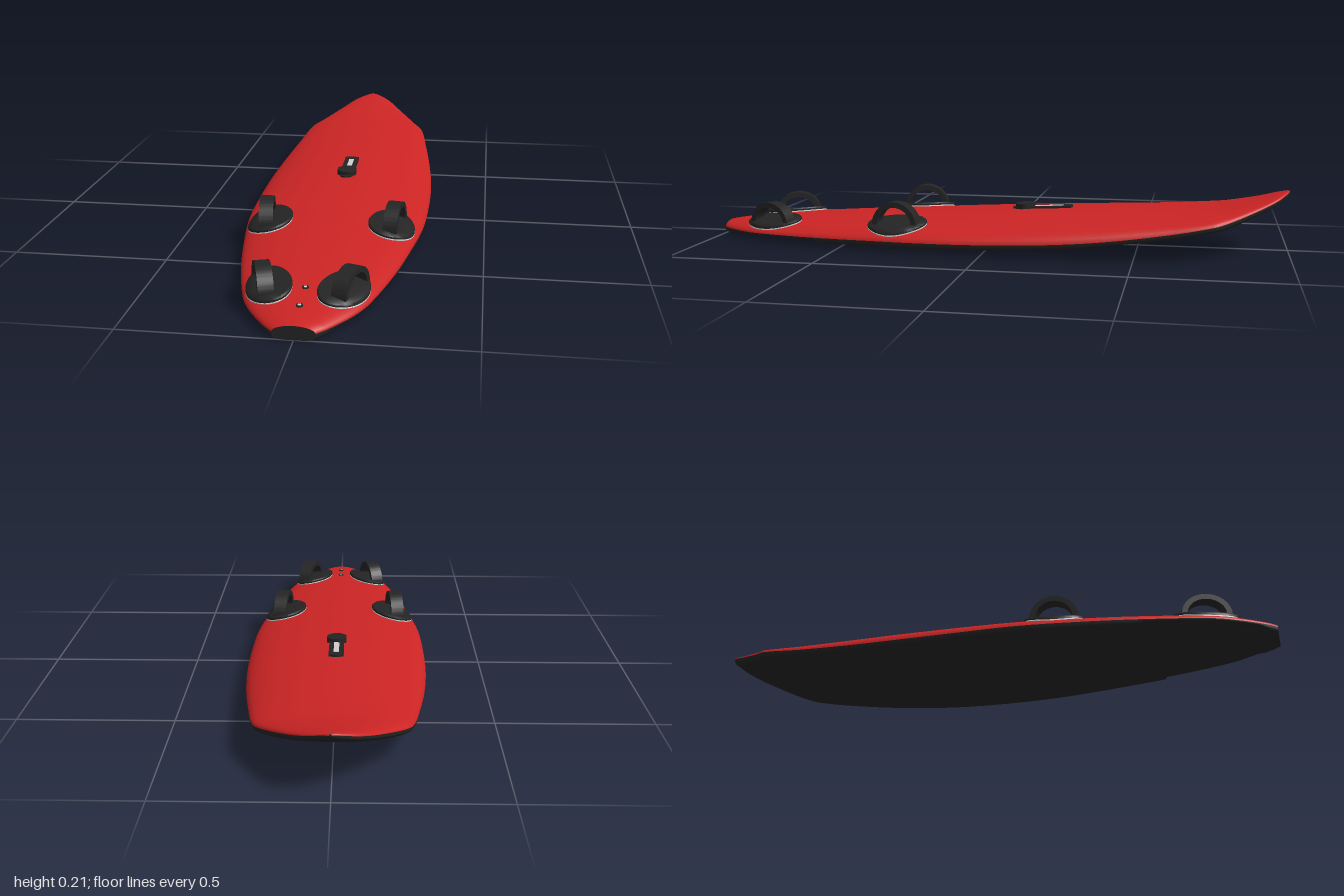
import * as THREE from 'three';
import { toCreasedNormals } from 'three/addons/utils/BufferGeometryUtils.js';

// Board stations from tail to nose: z, half width, deck centre, rail, bottom centre
const STATIONS = [
  [1, 0.06, 0.042, 0.022, 0], [0.97, 0.088, 0.047, 0.023, 0], [0.88, 0.148, 0.058, 0.024, 0],
  [0.8, 0.183, 0.066, 0.026, 0], [0.6, 0.234, 0.079, 0.029, 0.001], [0.4, 0.27, 0.09, 0.033, 0.002],
  [0.2, 0.297, 0.101, 0.036, 0.004], [0, 0.304, 0.113, 0.039, 0.008], [-0.2, 0.301, 0.123, 0.046, 0.018],
  [-0.4, 0.285, 0.132, 0.06, 0.035], [-0.6, 0.258, 0.14, 0.084, 0.057], [-0.75, 0.231, 0.149, 0.109, 0.08],
  [-0.8, 0.2, 0.156, 0.12, 0.093], [-0.9, 0.126, 0.178, 0.154, 0.133], [-0.96, 0.075, 0.196, 0.179, 0.163],
  [-0.99, 0.03, 0.204, 0.195, 0.184], [-1, 0.003, 0.205, 0.2, 0.196],
];

// Smooth cubic interpolation of the stations
function section(z) {
  let i = 0;
  while (i < STATIONS.length - 2 && z < STATIONS[i + 1][0]) i++;
  const a = STATIONS[i], b = STATIONS[i + 1];
  const p = STATIONS[Math.max(i - 1, 0)], n = STATIONS[Math.min(i + 2, STATIONS.length - 1)];
  const h = b[0] - a[0], t = (z - a[0]) / h;
  const [w, top, rail, bottom] = [1, 2, 3, 4].map((k) => {
    const m0 = h * (b[k] - p[k]) / (b[0] - p[0]), m1 = h * (n[k] - a[k]) / (n[0] - a[0]);
    const t2 = t * t, t3 = t2 * t;
    return (2 * t3 - 3 * t2 + 1) * a[k] + (t3 - 2 * t2 + t) * m0 + (3 * t2 - 2 * t3) * b[k] + (t3 - t2) * m1;
  });
  return { w, top, rail, bottom };
}

function deckY(x, z) {
  const s = section(z), u = Math.min(Math.abs(x) / s.w, 1);
  return s.rail + (s.top - s.rail) * Math.sqrt(1 - u * u);
}

const COLS = 32;
function deckPoint(j, z) {
  const s = section(z), a = Math.PI * (1 - j / COLS);
  return [s.w * Math.cos(a), s.rail + (s.top - s.rail) * Math.sin(a), z];
}
function hullPoint(j, z) {
  const s = section(z), a = Math.PI * j / COLS, c = Math.cos(a);
  const x = s.w * Math.sign(c) * Math.pow(Math.abs(c), 0.55);
  let y = s.rail - (s.rail - s.bottom) * Math.pow(Math.max(Math.sin(a), 0), 0.55);
  // Stepped cutouts beside the tail
  if (z < 0.98 && z < 0.595 === false && Math.abs(x) > 0.09) y += (s.rail - y) * 0.5;
  return [x, y, z];
}

// Skin over cross-sections, tail to nose
function skin(point) {
  const zs = [];
  for (let i = 0; i < STATIONS.length - 1; i++) {
    for (let k = 0; k < 4; k++) zs.push(THREE.MathUtils.lerp(STATIONS[i][0], STATIONS[i + 1][0], k / 4));
  }
  zs.push(0.594, -1);
  zs.sort((a, b) => b - a);
  const pos = [], index = [];
  zs.forEach((z, i) => {
    for (let j = 0; j <= COLS; j++) {
      pos.push(...point(j, z));
      if (i < zs.length - 1 && j < COLS) {
        const a = i * (COLS + 1) + j, c = a + COLS + 1;
        index.push(a, a + 1, c, a + 1, c + 1, c);
      }
    }
  });
  const g = new THREE.BufferGeometry();
  g.setAttribute('position', new THREE.Float32BufferAttribute(pos, 3));
  g.setIndex(index);
  g.computeVertexNormals();
  return g;
}

// Oval pad draped over the deck
function padGeometry(cx, cz, rx, rz, angle, lift, thick) {
  const profile = [[1, 0], [1, 0.6], [0.95, 1], [0.7, 1], [0.4, 1], [0, 1]]
    .map(([r, y]) => new THREE.Vector2(r, y * thick + lift));
  const g = new THREE.LatheGeometry(profile, 36);
  const p = g.attributes.position, c = Math.cos(angle), s = Math.sin(angle);
  for (let i = 0; i < p.count; i++) {
    const lx = p.getX(i) * rx, lz = p.getZ(i) * rz;
    const x = cx + lx * c + lz * s, z = cz - lx * s + lz * c;
    p.setXYZ(i, x, deckY(x, z) + p.getY(i), z);
  }
  return toCreasedNormals(g, 0.7);
}

// Arched band running along z
function strapGeometry(length, height, width, thick) {
  const r = length / 2, foot = -0.02;
  const shape = new THREE.Shape();
  shape.moveTo(r, foot);
  shape.lineTo(r, 0);
  shape.absellipse(0, 0, r, height, 0, Math.PI, false, 0);
  shape.lineTo(-r, foot);
  shape.lineTo(-r + thick, foot);
  shape.lineTo(-r + thick, 0);
  shape.absellipse(0, 0, r - thick, height - thick, Math.PI, 0, true, 0);
  shape.lineTo(r - thick, foot);
  const g = new THREE.ExtrudeGeometry(shape, { depth: width, bevelEnabled: false, curveSegments: 20 });
  g.translate(0, 0, -width / 2);
  g.rotateY(Math.PI / 2);
  return toCreasedNormals(g, 0.6);
}

export function createModel() {
  const model = new THREE.Group();
  model.name = 'sailboard';
  const material = (name, color) => Object.assign(new THREE.MeshStandardMaterial({ color }), { name });
  const red = material('red deck', 0xcc2424);
  const black = material('black', 0x242424);
  const light = material('light grey', 0xcfcfcf);
  const add = (name, geometry, mat, parent = model) => {
    const m = new THREE.Mesh(geometry, mat);
    m.name = name;
    parent.add(m);
    return m;
  };

  // Board body
  add('deck', skin(deckPoint), red);
  add('hull', skin(hullPoint), black);
  const outline = [];
  for (let j = COLS; j >= 0; j--) outline.push(new THREE.Vector2(...hullPoint(j, 1)));
  for (let j = COLS - 1; j > 0; j--) outline.push(new THREE.Vector2(...deckPoint(j, 1)));
  add('tailCap', new THREE.ShapeGeometry(new THREE.Shape(outline)), black).position.z = 1;

  // Foot straps, mirrored pairs
  const straps = [
    { name: 'front', x: 0.2, z: 0.305, rx: 0.074, rz: 0.105, angle: 0.13, sx: 0.21, top: 0.16 },
    { name: 'rear', x: 0.109, z: 0.785, rx: 0.067, rz: 0.109, angle: 0.32, sx: 0.127, top: 0.131 },
  ];
  for (const d of straps) {
    for (const side of [1, -1]) {
      const group = new THREE.Group();
      group.name = d.name + (side > 0 ? 'LeftFootStrap' : 'RightFootStrap');
      model.add(group);
      const x = side * d.x, angle = -side * d.angle;
      add('padRim', padGeometry(x, d.z, d.rx, d.rz, angle, -0.002, 0.007), light, group);
      add('pad', padGeometry(x, d.z, d.rx, d.rz, angle, 0.004, 0.01), black, group);
      const base = deckY(d.sx, d.z) + 0.003;
      const strap = add('strap', strapGeometry(0.162, d.top - base, 0.046, 0.018), black, group);
      strap.position.set(side * d.sx, base, d.z);
      strap.rotation.y = angle;
    }
  }

  // Mast track with slot and foot
  const track = new THREE.Group();
  track.name = 'mastTrack';
  track.position.set(0, deckY(0, -0.17), -0.17);
  track.rotation.x = 0.055;
  model.add(track);
  add('trackPlate', new THREE.BoxGeometry(0.05, 0.012, 0.17), black, track).position.z = -0.012;
  const end = add('trackEnd', new THREE.CylinderGeometry(0.025, 0.025, 0.012, 20), black, track);
  end.position.z = -0.078;
  const nose = add('trackTongue', new THREE.CylinderGeometry(0.024, 0.024, 0.012, 16), black, track);
  nose.position.z = 0.085;
  add('trackSlot', new THREE.BoxGeometry(0.018, 0.004, 0.1), light, track).position.set(0, 0.005, -0.02);
  const foot = add('mastFoot', new THREE.CylinderGeometry(0.036, 0.036, 0.03, 8), black, track);
  foot.rotation.y = Math.PI / 8;
  foot.position.set(0, 0.003, 0.063);

  // Fin bolts in the tail
  for (const z of [0.8, 0.9]) {
    const bolt = new THREE.Group();
    bolt.name = 'finBolt';
    bolt.position.set(0, deckY(0, z), z);
    bolt.rotation.x = 0.1;
    model.add(bolt);
    add('boltWasher', new THREE.CylinderGeometry(0.01, 0.01, 0.006, 16), black, bolt);
    add('boltHead', new THREE.CylinderGeometry(0.005, 0.005, 0.008, 12), light, bolt);
  }
  return model;
}
